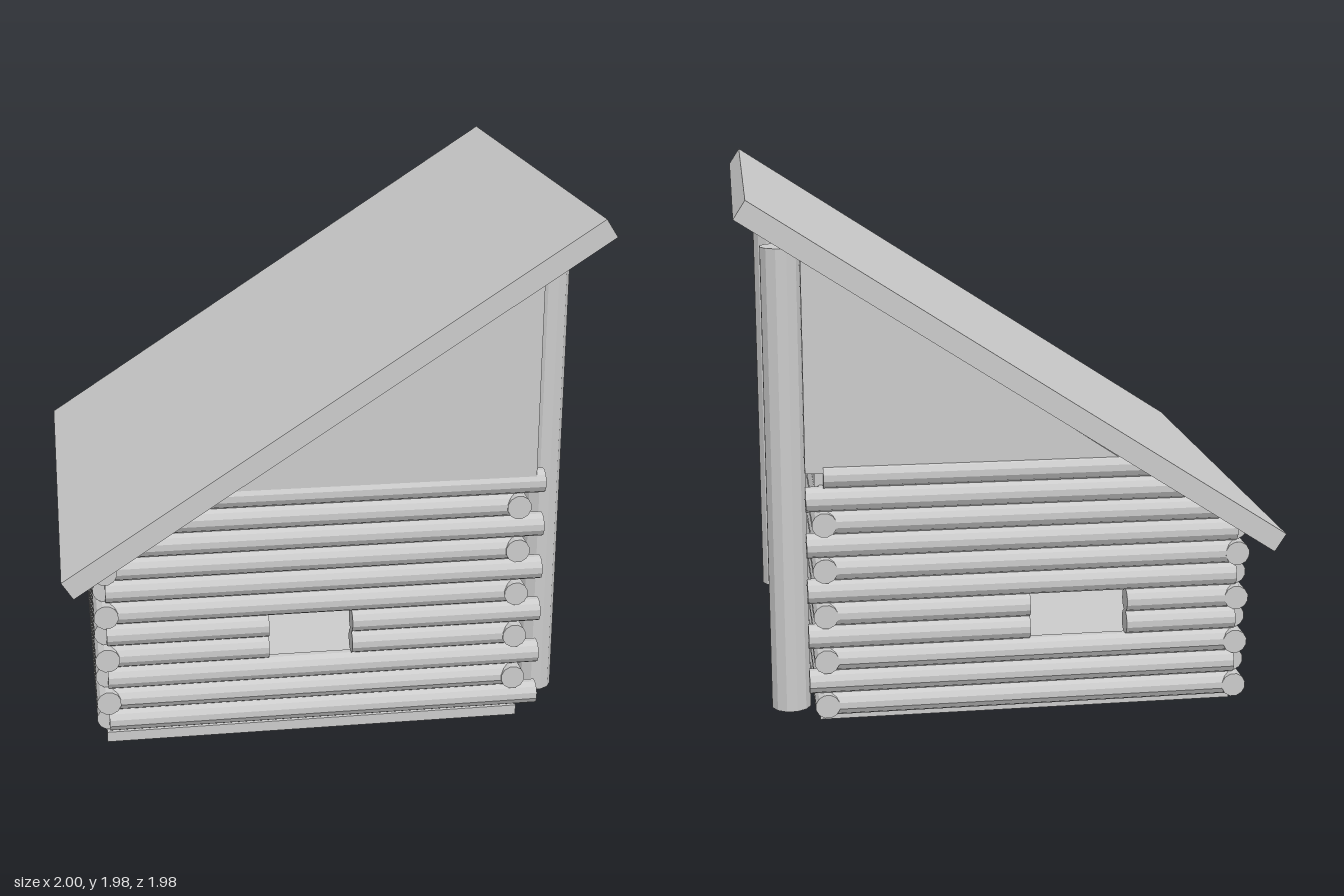
import * as THREE from 'three';

const SIDES = 12, LOG_R = 0.046;
const rowY = (i) => 0.09 + 0.0875 * i;

export function createModel() {
  const model = new THREE.Group();
  model.name = 'logCabin';
  const grey = new THREE.MeshStandardMaterial({ color: 0xcccccc, flatShading: true });
  const brown = new THREE.MeshStandardMaterial({ color: 0x4a261c });
  const black = new THREE.MeshStandardMaterial({ color: 0x111111 });

  const add = (parent, name, geo, mat, x = 0, y = 0, z = 0) => {
    const mesh = new THREE.Mesh(geo, mat);
    mesh.name = name;
    mesh.position.set(x, y, z);
    parent.add(mesh);
    return mesh;
  };
  // Box given by its limits on each axis
  const box = (name, [x0, x1], [y0, y1], [z0, z1], mat = grey) =>
    add(model, name, new THREE.BoxGeometry(x1 - x0, y1 - y0, z1 - z0), mat,
      (x0 + x1) / 2, (y0 + y1) / 2, (z0 + z1) / 2);

  // One horizontal log along 'x' or 'z', running from a to b
  const log = (wall, axis, a, b, y, offset) => {
    const geo = new THREE.CylinderGeometry(LOG_R, LOG_R, b - a, SIDES, 1, false, Math.PI / SIDES);
    const mid = (a + b) / 2;
    if (axis === 'x') add(wall, 'log', geo.rotateZ(Math.PI / 2), grey, mid, y, offset);
    else add(wall, 'log', geo.rotateX(Math.PI / 2), grey, offset, y, mid);
  };
  // A stack of logs; an opening {rows, from, to} splits the logs of its rows
  const logWall = (name, axis, offset, count, span, opening) => {
    const wall = new THREE.Group();
    wall.name = name;
    model.add(wall);
    for (let i = 0; i < count; i++) {
      const [a, b] = span(i);
      if (opening.rows.includes(i)) {
        log(wall, axis, a, opening.from, rowY(i), offset);
        log(wall, axis, opening.to, b, rowY(i), offset);
      } else log(wall, axis, a, b, rowY(i), offset);
    }
  };

  // Floor slab
  box('floor', [-0.85, 0.73], [0, 0.04], [-0.805, 0.875]);

  // Log walls: ends interlock, and the top rows stop under the sloping roof
  const eaveStart = (i) => ({ 8: -0.77, 9: -0.65, 10: -0.52 })[i] ?? -0.84;
  const even = (i) => i % 2 === 0;
  logWall('frontWall', 'x', 0.86, 11, (i) => [eaveStart(i), even(i) ? 0.805 : 0.705],
    { rows: [3, 4], from: -0.235, to: 0.08 });
  logWall('backWall', 'x', -0.86, 11, (i) => [eaveStart(i), even(i) ? 0.705 : 0.77],
    { rows: [3, 4], from: -0.42, to: -0.055 });
  const crossSpan = (i) => (even(i) ? [-0.905, 0.86] : [-0.86, 0.91]);
  logWall('doorWall', 'z', 0.705, 10, crossSpan, { rows: [0, 1, 2, 3], from: -0.08, to: 0.1 });
  logWall('lowWall', 'z', -0.84, 8, crossSpan, { rows: [3, 4], from: -0.27, to: 0.11 });

  // Door and knob
  box('door', [0.69, 0.715], [0.045, 0.39], [-0.08, 0.1], brown);
  add(model, 'doorKnob', new THREE.SphereGeometry(0.012, 10, 8), black, 0.724, 0.22, -0.05);

  // Triangular gable panels and the upper panel over the door wall
  const gable = (name, z0, depth, top) => {
    const shape = new THREE.Shape();
    shape.moveTo(-0.4, 0.98).lineTo(0.77, 0.98).lineTo(0.77, top).lineTo(-0.4, 0.99);
    add(model, name, new THREE.ExtrudeGeometry(shape, { depth, bevelEnabled: false }), grey, 0, 0, z0);
  };
  gable('frontGable', 0.82, 0.075, 1.745);
  gable('backGable', -0.885, 0.07, 1.765);
  box('upperPanel', [0.675, 0.735], [0.88, 1.74], [-0.83, 0.83]);

  // Tall posts under the high eave
  for (const z of [0.705, -0.765]) {
    add(model, 'post', new THREE.CylinderGeometry(0.075, 0.075, 1.74, SIDES, 1, false, Math.PI / SIDES),
      grey, 0.835, 0.92, z);
  }

  // Single-pitch roof
  const roof = add(model, 'roof', new THREE.BoxGeometry(2.331, 0.079, 1.98), grey, 0, 1.3125, 0);
  roof.rotation.z = Math.atan2(1.27, 1.955);

  return model;
}
